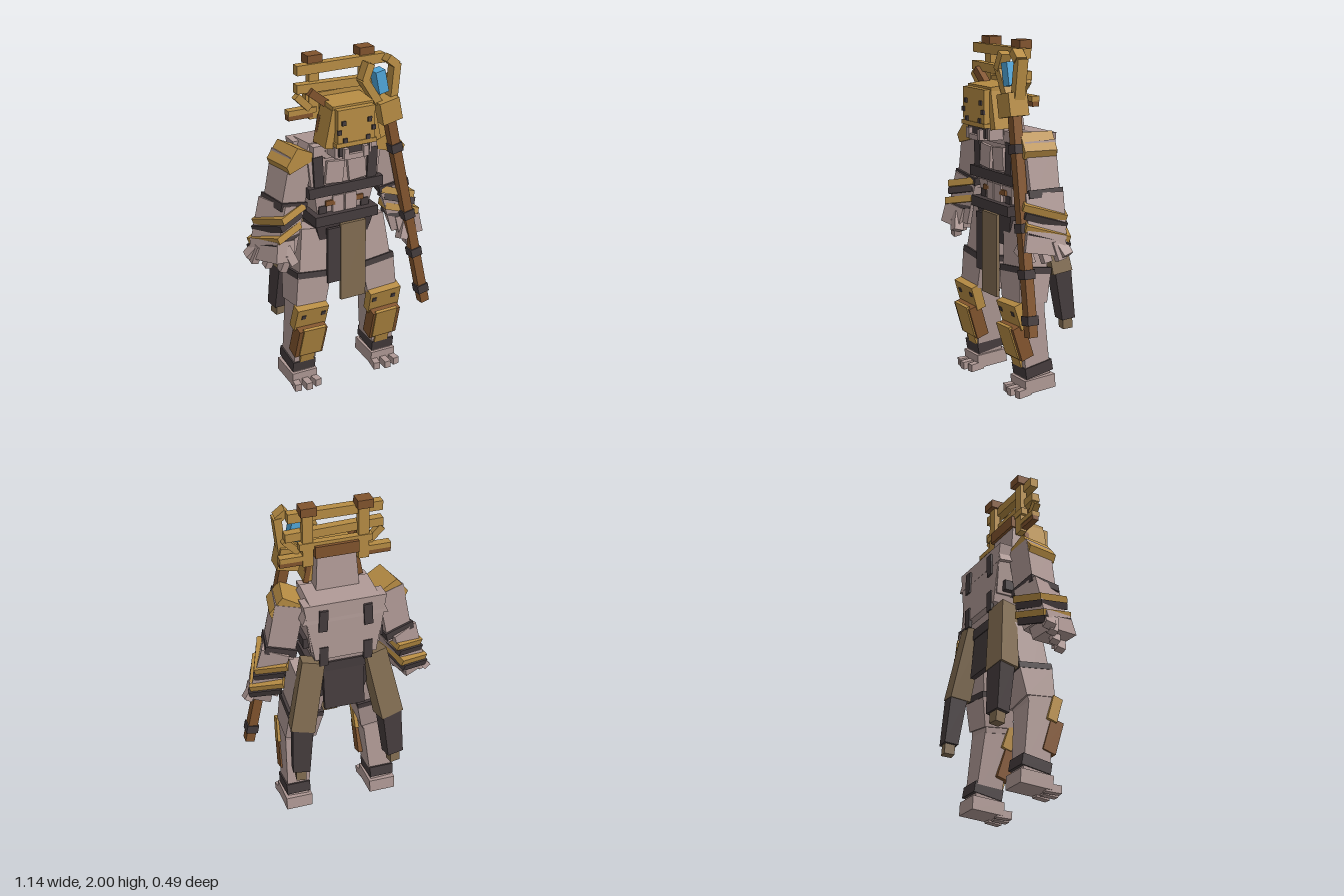
import * as THREE from 'three';

const mat = (name, color) => {
  const m = new THREE.MeshStandardMaterial({ color });
  m.name = name;
  return m;
};

export function createModel() {
  const skin = mat('skin', 0xae9894), gold = mat('gold', 0xb58b43), brown = mat('wood brown', 0x80532d);
  const dark = mat('dark leather', 0x443b3c), taupe = mat('taupe cloth', 0x806b50), blue = mat('crystal blue', 0x4fa5d8);
  const root = new THREE.Group();
  root.name = 'warrior';
  let target = root;
  const part = (name) => {
    target = new THREE.Group();
    target.name = name;
    root.add(target);
  };
  const add = (name, geo, m) => {
    const mesh = new THREE.Mesh(geo, m);
    mesh.name = name;
    target.add(mesh);
    return mesh;
  };
  // Box given by size, centre and rotation (tilt first, then yaw)
  const box = (name, m, [w, h, d], [x, y, z], [rx, ry, rz] = [0, 0, 0]) => {
    const b = add(name, new THREE.BoxGeometry(w, h, d), m);
    b.position.set(x, y, z);
    b.rotation.set(rx, ry, rz, 'YXZ');
    return b;
  };
  // Box running from a lower point to a higher point, optionally tapered
  const strut = (name, m, from, to, [w0, d0], [w1, d1] = [w0, d0]) => {
    const a = new THREE.Vector3(...from), b = new THREE.Vector3(...to);
    const dir = b.clone().sub(a), len = dir.length();
    const geo = new THREE.BoxGeometry(1, len, 1), p = geo.attributes.position;
    for (let i = 0; i < p.count; i++) {
      const top = p.getY(i) > 0;
      p.setX(i, p.getX(i) * (top ? w1 : w0));
      p.setZ(i, p.getZ(i) * (top ? d1 : d0));
    }
    geo.computeVertexNormals();
    const mesh = add(name, geo, m);
    mesh.position.copy(a).add(b).multiplyScalar(0.5);
    mesh.quaternion.setFromUnitVectors(new THREE.Vector3(0, 1, 0), dir.normalize());
    return mesh;
  };

  // Torso, waist and straps
  part('torso');
  strut('waist', skin, [0, 1.05, -0.02], [0, 1.22, -0.02], [0.32, 0.2], [0.38, 0.24]);
  strut('chest', skin, [0, 1.18, -0.03], [0, 1.42, -0.03], [0.4, 0.26], [0.46, 0.26]);
  strut('shoulders', skin, [0, 1.38, -0.04], [0, 1.49, -0.05], [0.5, 0.25], [0.4, 0.21]);
  strut('upperBack', skin, [0, 1.13, -0.12], [0, 1.48, -0.11], [0.36, 0.1], [0.48, 0.1]);
  box('chestBelt', dark, [0.47, 0.06, 0.25], [0, 1.225, 0]);
  box('belt', dark, [0.4, 0.06, 0.27], [0, 1.05, 0]);
  for (const s of [-1, 1]) {
    box('pectoral', skin, [0.11, 0.13, 0.04], [s * 0.07, 1.33, 0.1], [0, 0, s * 0.1]);
    box('frontStrap', dark, [0.06, 0.19, 0.03], [s * 0.17, 1.34, 0.1], [0, 0, s * -0.05]);
    box('collarPad', skin, [0.1, 0.07, 0.08], [s * 0.15, 1.46, 0.07]);
    box('backStrap', dark, [0.05, 0.13, 0.02], [s * 0.13, 1.38, -0.165], [0, 0, s * 0.05]);
    box('lowerBackStrap', dark, [0.05, 0.12, 0.02], [s * 0.13, 1.15, -0.165]);
    box('buckle', brown, [0.06, 0.03, 0.03], [s * 0.09, 1.14, 0.09]);
    box('hipPatch', dark, [0.05, 0.05, 0.03], [s * 0.135, 1.1, 0.08]);
    box('bellyMuscle', skin, [0.07, 0.1, 0.03], [s * 0.04, 1.13, 0.09]);
  }

  // Hips, loincloth and coat tails
  part('skirt');
  strut('hips', dark, [0, 0.83, -0.01], [0, 1.04, -0.01], [0.26, 0.18], [0.38, 0.24]);
  box('backCloth', dark, [0.24, 0.3, 0.03], [0, 0.92, -0.125], [0.1, 0, 0]);
  box('frontCloth', taupe, [0.16, 0.48, 0.02], [0.03, 0.78, 0.145]);
  box('frontClothDark', dark, [0.09, 0.34, 0.02], [-0.085, 0.83, 0.135]);
  for (const s of [-1, 1]) {
    const tail = [
      strut('tail', taupe, [s * 0.265, 0.68, -0.162], [s * 0.18, 1.1, -0.11], [0.14, 0.12], [0.13, 0.1]),
      strut('tailEnd', dark, [s * 0.285, 0.41, -0.2], [s * 0.263, 0.7, -0.168], [0.1, 0.08], [0.12, 0.1]),
      strut('tailTip', taupe, [s * 0.287, 0.35, -0.205], [s * 0.285, 0.42, -0.2], [0.06, 0.06]),
    ];
    tail.forEach((t) => t.rotateY(s * -0.15));
  }

  // Legs with shin guards
  for (const s of [-1, 1]) {
    part(s > 0 ? 'leftLeg' : 'rightLeg');
    strut('thigh', skin, [s * 0.24, 0.5, 0.055], [s * 0.17, 0.98, -0.01], [0.17, 0.17], [0.19, 0.19]);
    strut('thighWrap', skin, [s * 0.235, 0.53, 0.045], [s * 0.21, 0.7, 0.025], [0.19, 0.18], [0.21, 0.21]);
    strut('thighBand', dark, [s * 0.212, 0.695, 0.025], [s * 0.208, 0.73, 0.02], [0.212, 0.212]);
    strut('shin', skin, [s * 0.265, 0.1, 0.01], [s * 0.24, 0.55, 0.055], [0.13, 0.16], [0.17, 0.16]);
    box('ankleBand', dark, [0.145, 0.065, 0.18], [s * 0.265, 0.148, 0.01], [0.17, 0, 0]);
    box('foot', skin, [0.16, 0.08, 0.2], [s * 0.265, 0.06, 0.005], [0.06, 0, 0]);
    for (const t of [-1, 0, 1]) {
      box('toe', skin, [0.04, 0.045, 0.09], [s * 0.265 + t * 0.06, 0.025, 0.125 - Math.abs(t) * 0.015], [0.05, t * 0.15, 0]);
    }
    box('kneeGuard', gold, [0.2, 0.15, 0.06], [s * 0.242, 0.475, 0.125], [0.3, 0, s * 0.05]);
    box('shinGuard', brown, [0.18, 0.2, 0.08], [s * 0.246, 0.32, 0.115], [0.3, 0, s * 0.03]);
    box('shinPlate', gold, [0.14, 0.2, 0.02], [s * 0.24, 0.32, 0.155], [0.3, 0, s * 0.03]);
    box('shinTip', gold, [0.09, 0.07, 0.03], [s * 0.25, 0.198, 0.1], [0.3, 0, 0]);
    for (const t of [-1, 1]) {
      box('kneeStud', dark, [0.026, 0.026, 0.02], [s * 0.232 + t * 0.063, 0.49, 0.155], [0.3, 0, 0]);
    }
  }

  // Arms, shoulder plates and bracers
  for (const s of [-1, 1]) {
    part(s > 0 ? 'leftArm' : 'rightArm');
    const yaw = s * -0.35;
    strut('upperArm', skin, [s * 0.345, 1.12, 0.01], [s * 0.28, 1.45, 0.01], [0.16, 0.17], [0.16, 0.18]).rotateY(yaw / 2);
    strut('upperArmBand', dark, [s * 0.342, 1.145, 0.01], [s * 0.332, 1.19, 0.01], [0.18, 0.2]).rotateY(yaw / 2);
    const bands = [['bracer', gold, 1.1, 0.19], ['wrap', dark, 1.055, 0.18], ['bracer', gold, 0.99, 0.195], ['wrap', dark, 0.948, 0.185]];
    strut('forearm', skin, [s * 0.42, 0.9, 0.03], [s * 0.35, 1.17, 0.01], [0.16, 0.21]).rotateY(yaw);
    for (const [name, m, y, w] of bands) {
      box(name, m, [w, 0.04, w + 0.06], [s * (0.375 + (1.1 - y) * 0.26), y, 0.02], [-0.28, yaw, s * -0.2]);
    }
    box('hand', skin, [0.14, 0.12, 0.22], [s * 0.435, 0.91, 0.055], [-0.15, yaw, s * 0.2]);
    [[0.41, 0.8, 0.12], [0.47, 0.81, 0.05], [0.53, 0.83, 0.0]].forEach(([x, y, z]) => {
      strut('finger', skin, [s * x, y, z], [s * (x - 0.03), y + 0.1, z + 0.02], [0.042, 0.05]);
    });
    strut('outerFinger', skin, [s * 0.55, 0.855, -0.03], [s * 0.475, 0.95, 0], [0.045, 0.06]);
    strut('thumb', skin, [s * 0.35, 0.84, 0.15], [s * 0.39, 0.94, 0.12], [0.05, 0.06]);
    const pts = [[-0.1, 1.45], [-0.07, 1.41], [0.075, 1.37], [0.095, 1.415], [0.02, 1.51]].map(([x, y]) => new THREE.Vector2(s * x, y));
    const plate = new THREE.ExtrudeGeometry(new THREE.Shape(pts), { depth: 0.19, bevelEnabled: false });
    plate.translate(0, 0, -0.095);
    const shoulder = add('shoulderPlate', plate, gold);
    shoulder.position.set(s * 0.295, 0, 0.02);
    shoulder.rotation.y = yaw / 2;
  }

  // Head with mask and jaw
  part('head');
  strut('neck', skin, [0, 1.42, 0.04], [0, 1.72, 0.06], [0.26, 0.14], [0.22, 0.12]);
  box('skull', skin, [0.22, 0.16, 0.16], [0, 1.55, 0.12]);
  box('headBand', brown, [0.25, 0.07, 0.04], [0, 1.725, 0.0]);
  box('maskTop', gold, [0.25, 0.07, 0.18], [0, 1.715, 0.105], [0.08, 0, 0]);
  box('maskFace', gold, [0.23, 0.2, 0.07], [0, 1.63, 0.2]);
  box('maskRim', gold, [0.25, 0.025, 0.08], [0, 1.53, 0.2]);
  for (const s of [-1, 1]) {
    strut('cheekPlate', gold, [s * 0.15, 1.51, 0.13], [s * 0.115, 1.72, 0.13], [0.05, 0.14], [0.03, 0.14]);
    strut('cheekTrim', brown, [s * 0.16, 1.505, 0.07], [s * 0.13, 1.66, 0.07], [0.03, 0.03]);
    for (const [x, y] of [[0.08, 1.655], [0.105, 1.605], [0.07, 1.555]]) {
      box('maskStud', dark, [0.024, 0.026, 0.015], [s * x, y, 0.236]);
    }
    box('tusk', skin, [0.03, 0.06, 0.03], [s * 0.06, 1.475, 0.225]);
    box('jawSide', skin, [0.03, 0.06, 0.1], [s * 0.1, 1.475, 0.15]);
  }
  box('mouth', dark, [0.19, 0.08, 0.1], [0, 1.495, 0.165]);
  box('jaw', skin, [0.12, 0.03, 0.11], [0, 1.455, 0.18]);

  // Wooden rack behind the head
  part('headRack');
  for (const s of [-1, 1]) {
    box('post', gold, [0.06, 0.33, 0.04], [s * 0.16, 1.8, 0.025]);
    box('postCap', brown, [0.09, 0.05, 0.08], [s * 0.16, 1.975, 0.02]);
    box('sideRail', gold, [0.17, 0.03, 0.05], [s * 0.235, 1.69, 0.03]);
    box('sideRailTrim', brown, [0.15, 0.035, 0.04], [s * 0.245, 1.665, 0.03]);
    strut('sideStick', gold, [s * 0.2, 1.71, 0.06], [s * 0.28, 1.79, 0.06], [0.04, 0.04]);
  }
  box('topRail', gold, [0.54, 0.055, 0.05], [-0.005, 1.93, 0.05]);
  box('middleRail', gold, [0.56, 0.05, 0.05], [0, 1.82, 0.055], [0, 0, -0.03]);
  box('lowerRail', gold, [0.42, 0.04, 0.04], [0, 1.76, 0.02]);
  strut('brownStick', brown, [-0.11, 1.73, 0.085], [-0.21, 1.81, 0.085], [0.045, 0.04]);

  // Staff with forked head and crystal
  part('staff');
  const low = [0.5, 0.41, 0.17], high = [0.26, 1.62, 0.13];
  strut('shaft', brown, low, high, [0.055, 0.055]);
  for (const t of [0.075, 0.28, 0.485, 0.835]) {
    const at = (u) => low.map((v, i) => v + (high[i] - v) * u);
    strut('shaftBand', dark, at(t - 0.021), at(t + 0.021), [0.07, 0.07]);
  }
  box('staffBlock', gold, [0.125, 0.13, 0.12], [0.245, 1.655, 0.13], [0, 0, 0.2]);
  const prongs = [[[0.19, 1.7], [0.1, 1.845]], [[0.1, 1.835], [0.14, 1.93]], [[0.28, 1.69], [0.305, 1.91]], [[0.305, 1.9], [0.25, 1.945]]];
  for (const [a, b] of prongs) strut('prong', gold, [...a, 0.12], [...b, 0.115], [0.045, 0.065]);
  box('crystal', blue, [0.06, 0.13, 0.07], [0.205, 1.82, 0.12], [0, 0, 0.2]);

  return root;
}
